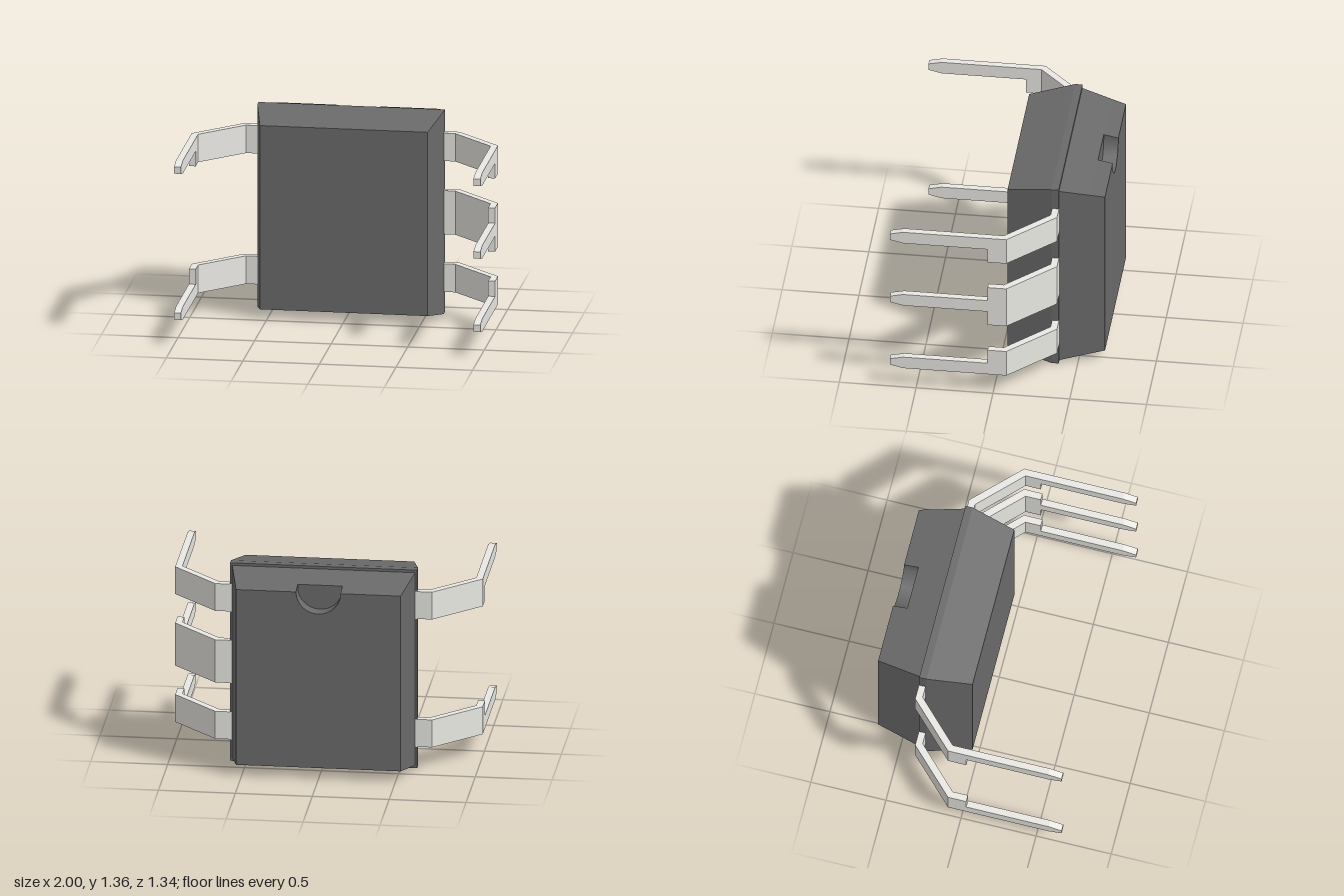
import * as THREE from 'three';
import { toCreasedNormals } from 'three/addons/utils/BufferGeometryUtils.js';

const MID_Y = 0.678; // height of the body's centre
const bodyMat = new THREE.MeshStandardMaterial({ color: 0x6b6a6a });
const leadMat = new THREE.MeshStandardMaterial({ color: 0xe9e8e3 });

function part(name, geometry, material) {
  const mesh = new THREE.Mesh(geometry, material);
  mesh.name = name;
  return mesh;
}

// Block between two rectangles given as [z, halfWidth, halfHeight]
function taperedBlock(name, back, front) {
  const geo = new THREE.BoxGeometry(2, 2, 2).toNonIndexed();
  const p = geo.attributes.position;
  for (let i = 0; i < p.count; i++) {
    const [z, w, h] = p.getZ(i) < 0 ? back : front;
    p.setXYZ(i, p.getX(i) * w, MID_Y + p.getY(i) * h, z);
  }
  geo.computeVertexNormals();
  return part(name, geo, bodyMat);
}

// Tapered slab whose top edge is cut by a half-round notch
function notchedSlab(name, back, front, radius) {
  const [zb, wb, hb] = back;
  const [zf, wf, hf] = front;
  const s = new THREE.Shape();
  s.moveTo(-wf, -hf);
  s.lineTo(wf, -hf);
  s.lineTo(wf, hf);
  s.lineTo(radius, hf);
  s.lineTo(radius, hb);
  s.absarc(0, hb, radius, 0, -Math.PI, true);
  s.lineTo(-radius, hf);
  s.lineTo(-wf, hf);
  s.closePath();
  const geo = new THREE.ExtrudeGeometry(s, { depth: zf - zb, bevelEnabled: false, curveSegments: 20 });
  // Pull the outer edges of the back end inwards, leaving the notch straight
  const p = geo.attributes.position;
  for (let i = 0; i < p.count; i++) {
    if (p.getZ(i) > 1e-4) continue;
    const x = p.getX(i), y = p.getY(i);
    if (Math.abs(Math.abs(x) - wf) < 1e-4) p.setX(i, Math.sign(x) * wb);
    if (Math.abs(Math.abs(y) - hf) < 1e-4) p.setY(i, Math.sign(y) * hb);
  }
  geo.translate(0, MID_Y, zb);
  return part(name, toCreasedNormals(geo, 0.5), bodyMat);
}

function extrude(points, depth) {
  const shape = new THREE.Shape(points.map(([x, y]) => new THREE.Vector2(x, y)));
  return new THREE.ExtrudeGeometry(shape, { depth, bevelEnabled: false });
}

// Bent lead: wide shoulder from y0 to y1, narrow pin from p0 to p1
function lead(name, side, y0, y1, p0, p1) {
  const group = new THREE.Group();
  group.name = name;
  const plan = [
    [0.57, -0.38], [0.705, -0.38], [1, -0.087], [1, 0.035],
    [0.955, 0.035], [0.955, -0.066], [0.683, -0.335], [0.57, -0.335],
  ].map(([x, z]) => [side * x, -z]);
  const shoulder = extrude(plan, y1 - y0).rotateX(-Math.PI / 2).translate(0, y0, 0);
  group.add(part('shoulder', shoulder, leadMat));

  const chamfer = 0.02;
  const profile = [
    [0.035, p0], [0.583, p0], [0.67, p0 + chamfer],
    [0.67, p1 - chamfer], [0.583, p1], [0.035, p1],
  ];
  const pin = extrude(profile, 0.045).rotateY(-Math.PI / 2).translate(side > 0 ? 1 : -0.955, 0, 0);
  group.add(part('pin', pin, leadMat));
  return group;
}

export function createModel() {
  const model = new THREE.Group();
  model.name = 'chipPackage';

  // Moulded body
  const body = new THREE.Group();
  body.name = 'body';
  const notchFloor = [-0.575, 0.554, 0.619];
  body.add(
    taperedBlock('frontHalf', [-0.33, 0.608, 0.678], [-0.038, 0.548, 0.615]),
    taperedBlock('seamBand', [-0.378, 0.608, 0.678], [-0.33, 0.608, 0.678]),
    taperedBlock('backHalf', notchFloor, [-0.378, 0.595, 0.66]),
    notchedSlab('notchedBack', [-0.67, 0.535, 0.6], notchFloor, 0.145),
  );
  model.add(body);

  // Corner leads on both sides, and a wider middle lead on the left only
  for (const side of [1, -1]) {
    const label = side > 0 ? 'left' : 'right';
    model.add(lead(label + 'UpperLead', side, 1.023, 1.21, 1.124, 1.21));
    model.add(lead(label + 'LowerLead', side, 0.147, 0.335, 0.147, 0.233));
  }
  model.add(lead('leftMiddleLead', 1, 0.533, 0.825, 0.637, 0.723));
  return model;
}
